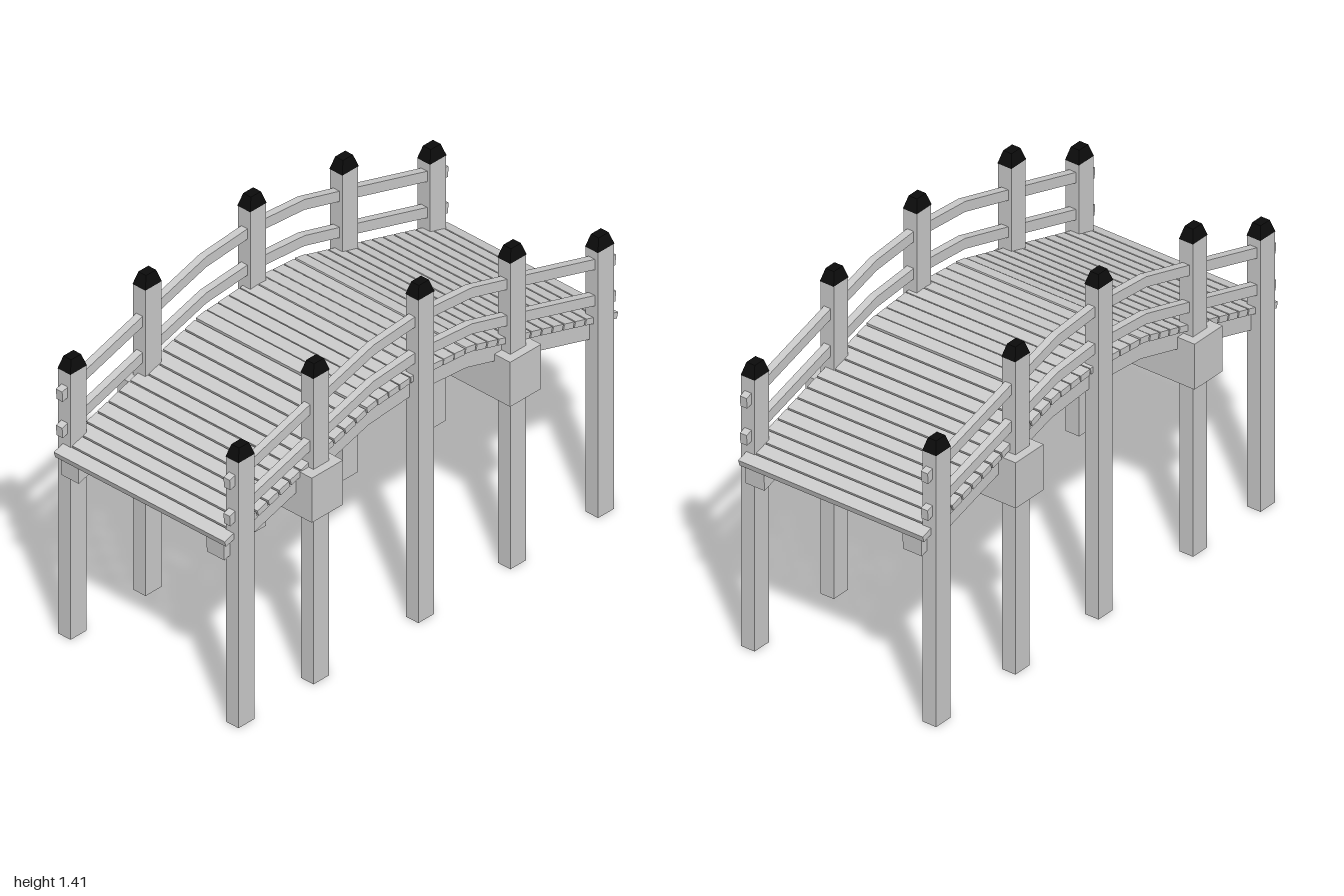
import * as THREE from 'three';

const grey = new THREE.MeshStandardMaterial({ color: 0xcccccc, flatShading: true });
const black = new THREE.MeshStandardMaterial({ color: 0x0c0c0c, flatShading: true });

// Arch shared by deck, stringers and rails: [x, drop below the crown]
const ARCH = [[-1, -0.24], [-0.75, -0.166], [-0.5, -0.092], [-0.25, -0.02], [0, 0],
  [0.25, -0.02], [0.5, -0.092], [0.75, -0.166], [1, -0.24]];

function drop(x) {
  let i = 0;
  while (i < ARCH.length - 2 && x > ARCH[i + 1][0]) i++;
  const [x0, y0] = ARCH[i], [x1, y1] = ARCH[i + 1];
  return y0 + (y1 - y0) * (x - x0) / (x1 - x0);
}

function add(parent, name, geometry, x, y, z, material = grey) {
  const mesh = new THREE.Mesh(geometry, material);
  mesh.name = name;
  mesh.position.set(x, y, z);
  parent.add(mesh);
  return mesh;
}

// Strip of constant height that follows the arch, extruded along z
function archedBar(crownTop, height, depth, end) {
  const xs = ARCH.map(([x]) => x * (Math.abs(x) === 1 ? end : 1));
  const top = xs.map(x => new THREE.Vector2(x, crownTop + drop(x)));
  const bottom = xs.map(x => new THREE.Vector2(x * 0.997, crownTop + drop(x) - height)).reverse();
  const geometry = new THREE.ExtrudeGeometry(new THREE.Shape([...bottom, ...top]),
    { depth, bevelEnabled: false });
  return geometry.translate(0, 0, -depth / 2);
}

export function createModel() {
  const bridge = new THREE.Group();
  bridge.name = 'archedFootbridge';

  // Deck planks, each tilted to the arch
  const deck = new THREE.Group();
  deck.name = 'deck';
  bridge.add(deck);
  const count = 36, pitch = 2 / count;
  for (let i = 0; i < count; i++) {
    const x = -1 + (i + 0.5) * pitch;
    const slope = Math.atan2(drop(x + pitch / 2) - drop(x - pitch / 2), pitch);
    const plank = add(deck, 'plank', new THREE.BoxGeometry(pitch - 0.004, 0.025, 0.824),
      x, 1.022 + drop(x), 0);
    plank.rotation.z = slope;
  }

  // Cross beams under the deck
  for (const x of [-0.538, 0.47]) {
    add(bridge, 'crossBeam', new THREE.BoxGeometry(0.158, 0.187, 0.938), x, 0.81, 0);
  }

  // Posts: [x, height of the post below its cap]
  const posts = [[-0.914, 1.115], [-0.533, 1.285], [0, 1.357], [0.468, 1.285], [0.914, 1.115]];
  const capGeometry = new THREE.CylinderGeometry(0.6 * Math.SQRT1_2, Math.SQRT1_2, 0.05, 4)
    .rotateY(Math.PI / 4).scale(0.084, 1, 0.062);

  for (const side of [1, -1]) {
    const half = new THREE.Group();
    half.name = side > 0 ? 'frontSide' : 'backSide';
    bridge.add(half);

    for (const [x, h] of posts) {
      add(half, 'post', new THREE.BoxGeometry(0.08, h, 0.06), x, h / 2, side * 0.405);
      add(half, 'postCap', capGeometry, x, h + 0.025, side * 0.405, black);
    }
    // Stringer below the planks and two hand rails
    add(half, 'stringer', archedBar(1.008, 0.073, 0.084, 0.985), 0, 0, side * 0.351);
    add(half, 'upperRail', archedBar(1.283, 0.043, 0.03, 0.982), 0, 0, side * 0.404);
    add(half, 'lowerRail', archedBar(1.131, 0.043, 0.03, 0.982), 0, 0, side * 0.404);
  }
  return bridge;
}
